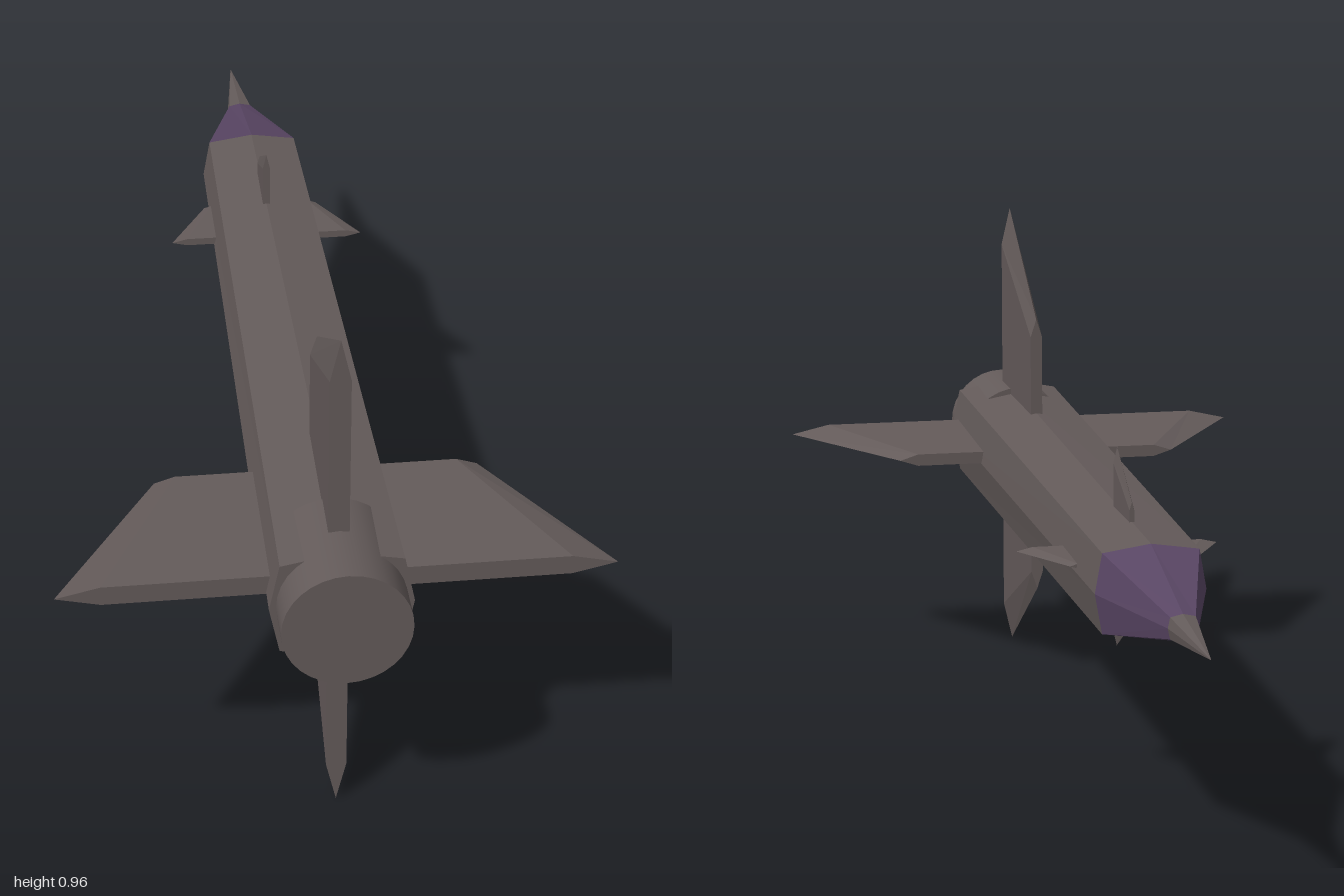
import * as THREE from 'three';

// Closed solid through rings of equal length: each ring is a list of [x, y, z],
// running counter-clockwise seen from +z, ordered from +z to -z.
function loft(rings) {
  const n = rings[0].length;
  const pos = [];
  const tri = (a, b, c) => pos.push(...a, ...b, ...c);
  for (let r = 0; r < rings.length - 1; r++) {
    for (let i = 0; i < n; i++) {
      const j = (i + 1) % n;
      const a = rings[r][i], b = rings[r][j], c = rings[r + 1][j], d = rings[r + 1][i];
      tri(a, d, c);
      tri(a, c, b);
    }
  }
  const first = rings[0], last = rings[rings.length - 1];
  for (let i = 1; i < n - 1; i++) {
    tri(first[0], first[i], first[i + 1]);
    tri(last[0], last[i + 1], last[i]);
  }
  const geo = new THREE.BufferGeometry();
  geo.setAttribute('position', new THREE.Float32BufferAttribute(pos, 3));
  geo.computeVertexNormals();
  return geo;
}

// Eight-sided hull section: flattened corners with shallow ridges between
function hullRing(z, cornerX, cornerY, ridgeX, ridgeY, cy) {
  return [
    [ridgeX, 0], [cornerX, cornerY], [0, ridgeY], [-cornerX, cornerY],
    [-ridgeX, 0], [-cornerX, -cornerY], [0, -ridgeY], [cornerX, -cornerY],
  ].map(([x, y]) => [x, cy + y, z]);
}

// Fin pointing up: flat slab whose outer end tapers to a sharp edge
function finGeometry({ rear, front, root, rearSpan, frontSpan, rearBevel, frontBevel, rearHalf, frontHalf }) {
  const ring = (z, half, bevel, span) => [
    [-half, root, z], [half, root, z], [half, bevel, z], [0, span, z], [-half, bevel, z],
  ];
  return loft([ring(rear, rearHalf, rearBevel, rearSpan), ring(front, frontHalf, frontBevel, frontSpan)]);
}

export function createModel() {
  const model = new THREE.Group();
  model.name = 'rocket';

  const grey = new THREE.MeshStandardMaterial({ color: 0x645b5a });
  grey.name = 'warm grey';
  const purple = new THREE.MeshStandardMaterial({ color: 0x594664 });
  purple.name = 'dull purple';

  const add = (name, geo, mat, parent = model) => {
    const mesh = new THREE.Mesh(geo, mat);
    mesh.name = name;
    parent.add(mesh);
    return mesh;
  };

  // Hull, nose and spike share their joining sections
  const tail = hullRing(0.925, 0.105, 0.088, 0.123, 0.108, 0.467);
  const shoulder = hullRing(-0.55, 0.087, 0.073, 0.1, 0.086, 0.47);
  const neck = hullRing(-0.8, 0.022, 0.019, 0.026, 0.024, 0.471);
  const tip = hullRing(-1, 0.0005, 0.0005, 0.0006, 0.0006, 0.471);
  add('hull', loft([tail, shoulder]), grey);
  add('noseCone', loft([shoulder, neck]), purple);
  add('noseSpike', loft([neck, tip]), grey);

  // Engine nozzle, half sunk in the hull
  const nozzle = add('nozzle', new THREE.CylinderGeometry(0.111, 0.111, 0.22, 32), grey);
  nozzle.rotation.x = Math.PI / 2;
  nozzle.position.set(0, 0.472, 0.89);

  // Four tail fins and four small canards around the axis
  const tailFin = finGeometry({
    rear: 0.875, front: 0.56, root: 0.04, rearSpan: 0.478, frontSpan: 0.287,
    rearBevel: 0.4, frontBevel: 0.25, rearHalf: 0.018, frontHalf: 0.012,
  });
  const canard = finGeometry({
    rear: -0.26, front: -0.39, root: 0.03, rearSpan: 0.188, frontSpan: 0.113,
    rearBevel: 0.158, frontBevel: 0.098, rearHalf: 0.007, frontHalf: 0.0045,
  });
  const fins = new THREE.Group();
  fins.name = 'fins';
  fins.position.y = 0.481;
  ['top', 'left', 'bottom', 'right'].forEach((side, i) => {
    add(side + 'TailFin', tailFin, grey, fins).rotation.z = -i * Math.PI / 2;
    add(side + 'Canard', canard, grey, fins).rotation.z = -i * Math.PI / 2;
  });
  model.add(fins);

  return model;
}
